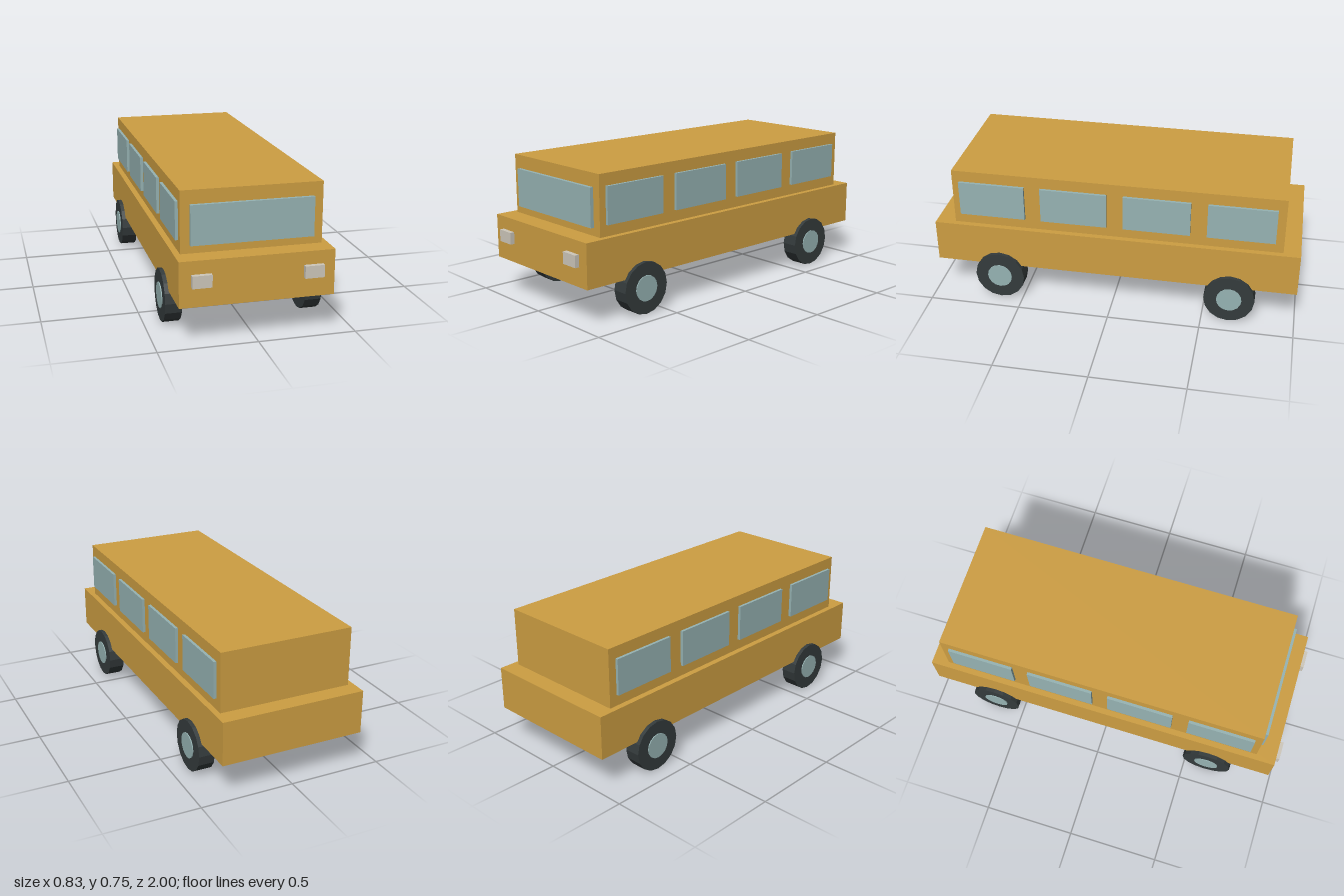
import * as THREE from 'three';

function material(name, color, flatShading = false) {
  const m = new THREE.MeshStandardMaterial({ color, flatShading });
  m.name = name;
  return m;
}

// Box given by its extents along each axis
function box(name, mat, [x0, x1], [y0, y1], [z0, z1]) {
  const mesh = new THREE.Mesh(new THREE.BoxGeometry(x1 - x0, y1 - y0, z1 - z0), mat);
  mesh.position.set((x0 + x1) / 2, (y0 + y1) / 2, (z0 + z1) / 2);
  mesh.name = name;
  return mesh;
}

// Cylinder lying along the x axis
function disc(name, mat, radius, width) {
  const mesh = new THREE.Mesh(
    new THREE.CylinderGeometry(radius, radius, width, 16).rotateZ(Math.PI / 2), mat);
  mesh.name = name;
  return mesh;
}

export function createModel() {
  const paint = material('ochre paint', 0xcd9e42);
  const glass = material('pale teal glass', 0x96b3b3);
  const lamp = material('lamp grey', 0xcec8bb);
  const rubber = material('dark rubber', 0x343b3c, true);

  const van = new THREE.Group();
  van.name = 'van';

  // Body and cabin
  van.add(box('lowerBody', paint, [-0.388, 0.388], [0.2, 0.433], [-1, 0.976]));
  van.add(box('cabin', paint, [-0.357, 0.357], [0.433, 0.747], [-0.909, 0.869]));
  van.add(box('windshield', glass, [-0.31, 0.31], [0.475, 0.677], [0.865, 0.888]));

  for (const side of [-1, 1]) {
    const label = side > 0 ? 'left' : 'right';
    const span = (a, b) => (side > 0 ? [a, b] : [-b, -a]);

    // Row of four side windows
    for (let i = 0; i < 4; i++) {
      const z = 0.652 - i * 0.446;
      van.add(box(`${label}Window${i + 1}`, glass, span(0.352, 0.372), [0.492, 0.685],
        [z - 0.179, z + 0.179]));
    }

    // Headlight
    van.add(box(`${label}Headlight`, lamp, span(0.23, 0.328), [0.302, 0.365], [0.97, 1]));

    // Wheels with hubs showing on both faces
    for (const [end, z] of [['Front', 0.623], ['Rear', -0.645]]) {
      const wheel = new THREE.Group();
      wheel.name = `${label}${end}Wheel`;
      wheel.add(disc('tyre', rubber, 0.137, 0.086), disc('hub', glass, 0.068, 0.096));
      wheel.position.set(side * 0.366, 0.137, z);
      van.add(wheel);
    }
  }
  return van;
}
